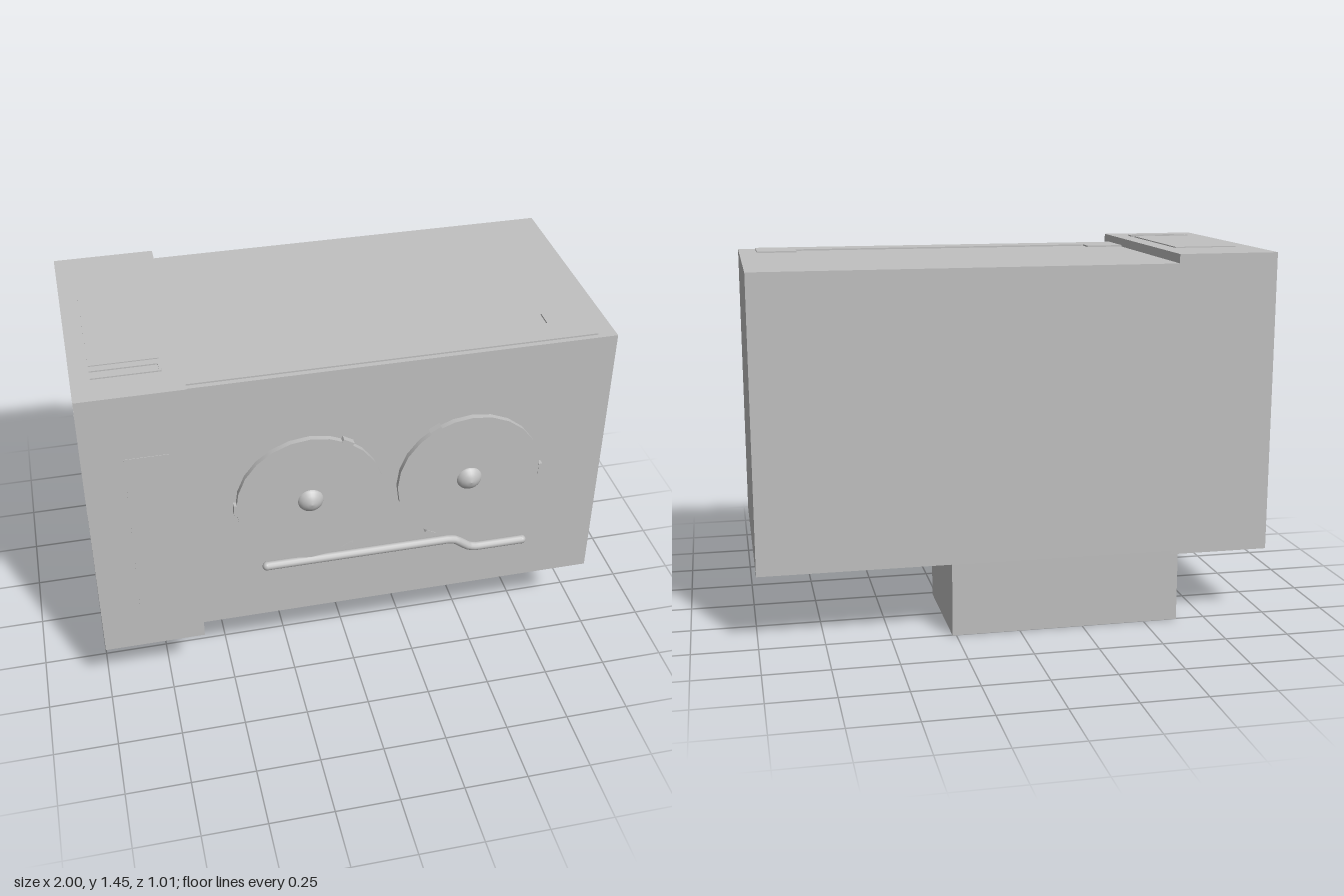
import * as THREE from 'three';

export function createModel() {
  const model = new THREE.Group();
  model.name = 'projectorCabinet';
  const grey = new THREE.MeshStandardMaterial({ color: 0xc0c0c0 });
  grey.name = 'light grey';

  const add = (name, geometry, parent = model) => {
    const mesh = new THREE.Mesh(geometry, grey);
    mesh.name = name;
    parent.add(mesh);
    return mesh;
  };
  // Box given by its lower and upper limits on each axis
  const block = (name, x0, x1, y0, y1, z0, z1) =>
    add(name, new THREE.BoxGeometry(x1 - x0, y1 - y0, z1 - z0)
      .translate((x0 + x1) / 2, (y0 + y1) / 2, (z0 + z1) / 2));

  // Main volumes
  block('tower', -1, -0.61, 0.27, 1.445, -0.505, 0.505);
  block('body', -0.61, 1, 0.285, 1.41, -0.505, 0.45);
  block('base', -0.635, 0.265, 0, 0.285, -0.505, -0.018);

  // Thin panels on the tower
  block('towerFrontPanel', -0.85, -0.69, 0.46, 1.18, 0.503, 0.507);
  block('towerSidePanel', -1.002, -0.998, 0.7, 1.17, -0.2, 0.2);
  block('towerTopPanel', -0.93, -0.68, 1.443, 1.449, -0.25, 0.29);
  block('topTrimBack', -0.93, -0.68, 1.443, 1.45, 0.317, 0.327);
  block('topTrimFront', -0.93, -0.68, 1.443, 1.45, 0.364, 0.374);
  block('topTrimEnd', -0.688, -0.678, 1.443, 1.45, 0.327, 0.364);

  // Raised U-shaped trim along the front top edge
  const trim = new THREE.Shape([
    [-0.61, 0.25], [-0.46, 0.25], [-0.46, 0.32], [0.77, 0.32],
    [0.77, 0.25], [0.93, 0.25], [0.93, 0.43], [-0.61, 0.43],
  ].map(([x, z]) => new THREE.Vector2(x, -z)));
  add('topEdgeTrim', new THREE.ExtrudeGeometry(trim, { depth: 0.007, bevelEnabled: false })
    .rotateX(-Math.PI / 2).translate(0, 1.409, 0));

  // Two reels with domed hubs and rim clips
  const hubProfile = [[0.05, 0], [0.046, 0.009], [0.034, 0.02], [0.018, 0.029], [0, 0.033]]
    .map(([r, h]) => new THREE.Vector2(r, h));
  const makeReel = (name, x, side) => {
    const reel = new THREE.Group();
    reel.name = name;
    reel.position.set(x, 0.85, 0.45);
    add('disc', new THREE.CylinderGeometry(0.285, 0.285, 0.022, 24)
      .rotateX(Math.PI / 2).translate(0, 0, 0.011), reel);
    add('hub', new THREE.LatheGeometry(hubProfile, 24)
      .rotateX(Math.PI / 2).translate(0, 0, 0.021), reel);
    for (let i = 0; i < 3; i++) {
      const angle = (side > 0 ? 0 : Math.PI) + i * Math.PI * 2 / 3;
      add('rimClip', new THREE.BoxGeometry(0.014, 0.046, 0.024)
        .translate(0.287, 0, 0.012).rotateZ(angle), reel);
    }
    model.add(reel);
  };
  makeReel('rightReel', -0.17, -1);
  makeReel('leftReel', 0.455, 1);

  // Bent film rail with rounded ends
  const railPoints = [[-0.345, 0.548], [0.39, 0.548], [0.42, 0.54], [0.475, 0.498], [0.505, 0.49], [0.7, 0.49]]
    .map(([x, y]) => new THREE.Vector3(x, y, 0.466));
  const rail = new THREE.CurvePath();
  for (let i = 1; i < railPoints.length; i++) rail.add(new THREE.LineCurve3(railPoints[i - 1], railPoints[i]));
  add('filmRail', new THREE.TubeGeometry(rail, 64, 0.018, 12));
  for (const p of [railPoints[0], railPoints[5]]) {
    add('railEnd', new THREE.SphereGeometry(0.018, 12, 8).translate(p.x, p.y, p.z));
  }

  // Small rounded foot below the body
  add('foot', new THREE.CapsuleGeometry(0.025, 0.115, 6, 12)
    .rotateZ(Math.PI / 2).translate(0.875, 0.284, -0.15));

  return model;
}
